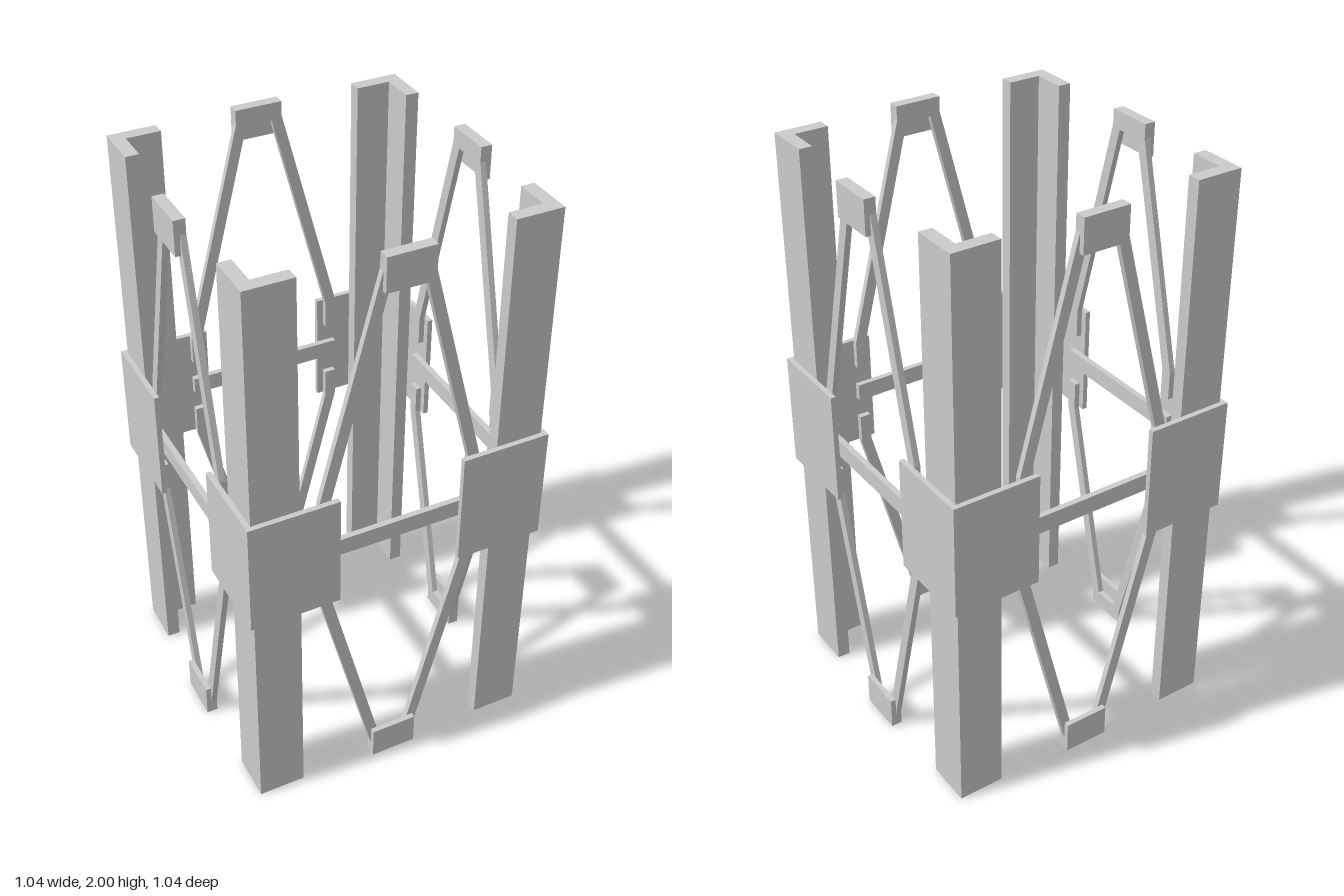
import * as THREE from 'three';

const material = new THREE.MeshStandardMaterial({ color: 0xcccccc, flatShading: true });

function extrude(name, points, depth) {
  const shape = new THREE.Shape(points.map(([x, y]) => new THREE.Vector2(x, y)));
  const mesh = new THREE.Mesh(new THREE.ExtrudeGeometry(shape, { depth, bevelEnabled: false }), material);
  mesh.name = name;
  return mesh;
}

function box(name, w, h, d, x, y, z) {
  const mesh = new THREE.Mesh(new THREE.BoxGeometry(w, h, d), material);
  mesh.name = name;
  mesh.position.set(x, y, z);
  return mesh;
}

// Vertical L-section for the +x, +z corner
function angle(name, outer, inner, end, y0, y1) {
  const mesh = extrude(name, [
    [outer, -outer], [outer, -end], [inner, -end],
    [inner, -inner], [end, -inner], [end, -outer],
  ], y1 - y0);
  mesh.rotation.x = -Math.PI / 2;
  mesh.position.y = y0;
  return mesh;
}

// Lattice on one face: two A-shaped braces, their end plates and a tie bar
function facePanel() {
  const panel = new THREE.Group();
  panel.name = 'facePanel';
  const right = [[0.08, 2], [0.08, 1.95], [0.275, 1.2], [0.275, 1.1],
    [0.236, 1.1], [0.236, 1.2], [0.045, 1.94]];
  const left = right.map(([x, y]) => [-x, y]).reverse();
  const outline = [...right, ...left];

  const upper = extrude('upperBrace', outline, 0.02);
  const lower = extrude('lowerBrace', outline.map(([x, y]) => [x, 2 - y]), 0.02);
  upper.position.z = lower.position.z = 0.48;
  panel.add(upper, lower);

  panel.add(box('upperEndPlate', 0.16, 0.115, 0.018, 0, 1.9425, 0.509));
  panel.add(box('lowerEndPlate', 0.16, 0.115, 0.018, 0, 0.0575, 0.509));
  panel.add(box('tieBar', 0.55, 0.06, 0.02, 0, 1, 0.49));
  return panel;
}

export function createModel() {
  const model = new THREE.Group();
  model.name = 'latticeColumn';
  for (let i = 0; i < 4; i++) {
    const side = new THREE.Group();
    side.name = 'side' + (i + 1);
    side.add(
      angle('cornerLeg', 0.5, 0.455, 0.34, 0, 2),
      angle('splicePlate', 0.518, 0.5, 0.213, 0.8, 1.2),
      facePanel(),
    );
    side.rotation.y = i * Math.PI / 2;
    model.add(side);
  }
  return model;
}
